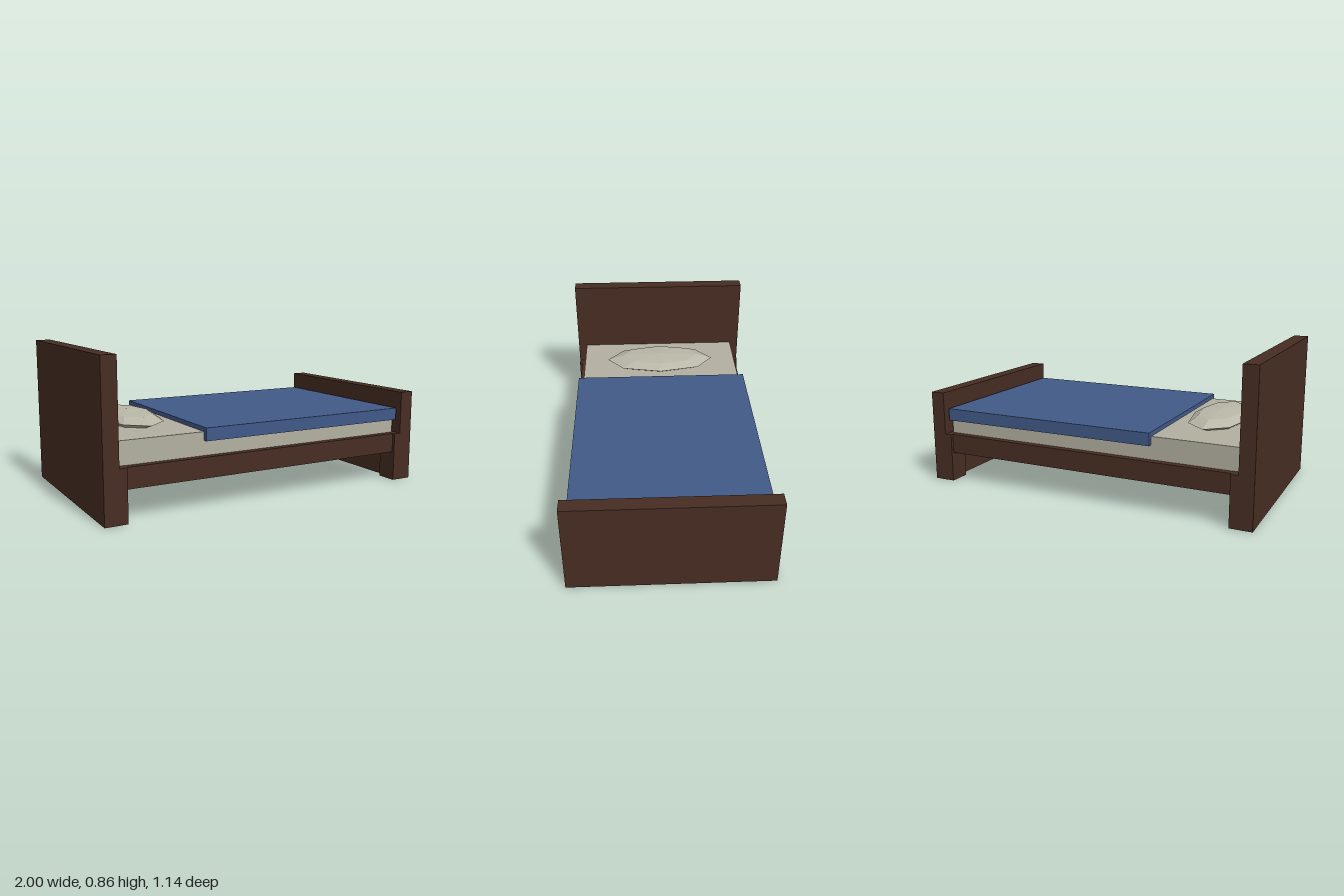
import * as THREE from 'three';

const mat = (name, color) => {
  const m = new THREE.MeshStandardMaterial({ color });
  m.name = name;
  return m;
};

export function createModel() {
  const bed = new THREE.Group();
  bed.name = 'bed';
  const wood = mat('dark wood', 0x472d23);
  const linen = mat('mattress linen', 0xb3afa1);
  const cotton = mat('pillow cotton', 0xb9b7a7);
  cotton.flatShading = true;
  const blue = mat('blue blanket', 0x415a88);

  // Box given by its x and y ranges, depth and z centre
  const box = (name, material, x0, x1, y0, y1, depth, z = 0) => {
    const mesh = new THREE.Mesh(new THREE.BoxGeometry(x1 - x0, y1 - y0, depth), material);
    mesh.position.set((x0 + x1) / 2, (y0 + y1) / 2, z);
    mesh.name = name;
    bed.add(mesh);
  };

  // End boards and bed base
  box('headboard', wood, -1, -0.915, 0, 0.858, 1.144);
  box('footboard', wood, 0.915, 1, 0, 0.545, 1.144);
  box('bedFrame', wood, -0.92, 0.92, 0.175, 0.29, 1.11);

  // Corner legs inside the end boards
  for (const side of [-1, 1]) {
    for (const end of ['head', 'foot']) {
      const [x0, x1] = end === 'head' ? [-0.999, -0.873] : [0.873, 0.999];
      box(end + 'Leg', wood, x0, x1, 0.0005, 0.2905, 0.125, side * 0.5095);
    }
  }

  // Bedding
  box('mattress', linen, -0.905, 0.899, 0.289, 0.42, 1.03);
  box('blanket', blue, -0.415, 0.9, 0.373, 0.445, 1.09);

  // Faceted pillow
  const pillow = new THREE.Mesh(new THREE.SphereGeometry(1, 8, 4), cotton);
  pillow.scale.set(0.17, 0.045, 0.356);
  pillow.position.set(-0.645, 0.445, 0);
  pillow.name = 'pillow';
  bed.add(pillow);

  return bed;
}
